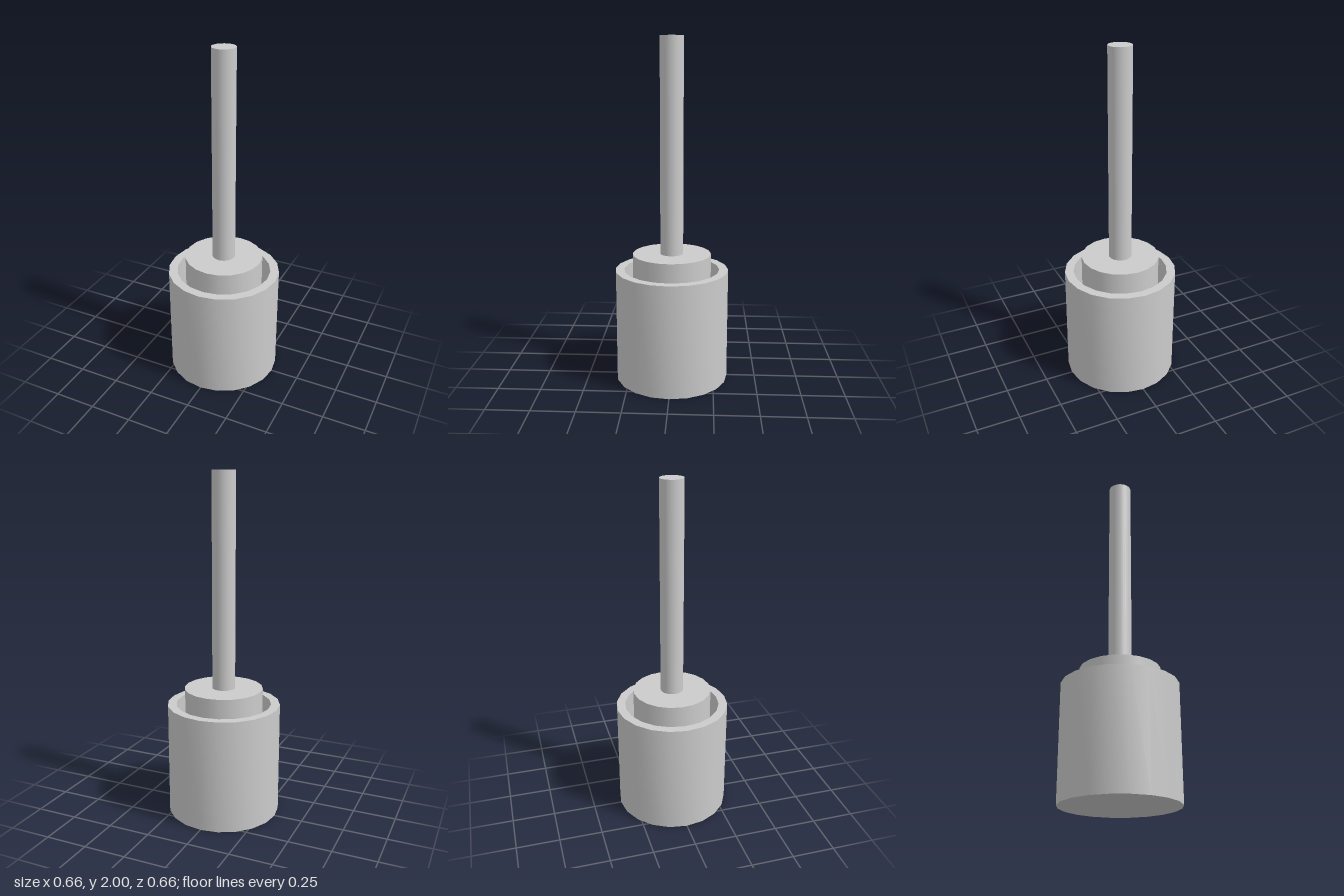
import * as THREE from 'three';
import { toCreasedNormals } from 'three/addons/utils/BufferGeometryUtils.js';

const material = new THREE.MeshStandardMaterial({ color: 0xcccccc });

// upright cylinder from its bottom and top heights
function post(name, radius, bottom, top, sides) {
  const geometry = new THREE.CylinderGeometry(radius, radius, top - bottom, sides);
  geometry.translate(0, (bottom + top) / 2, 0);
  const mesh = new THREE.Mesh(geometry, material);
  mesh.name = name;
  return mesh;
}

export function createModel() {
  const group = new THREE.Group();
  group.name = 'plunger';

  // open cup with a thick wall and a floor
  const floor = 0.05;
  const profile = [
    [0, 0], [0.332, 0], [0.332, 0.665], [0.28, 0.665], [0.28, floor], [0, floor],
  ].map(([r, y]) => new THREE.Vector2(r, y));
  const cup = new THREE.Mesh(
    toCreasedNormals(new THREE.LatheGeometry(profile, 20), Math.PI / 4), material);
  cup.name = 'cup';
  group.add(cup);

  // piston standing in the cup, with the rod on top
  group.add(post('piston', 0.23, floor, 0.76, 20));
  group.add(post('rod', 0.067, 0.76, 2, 32));

  return group;
}
